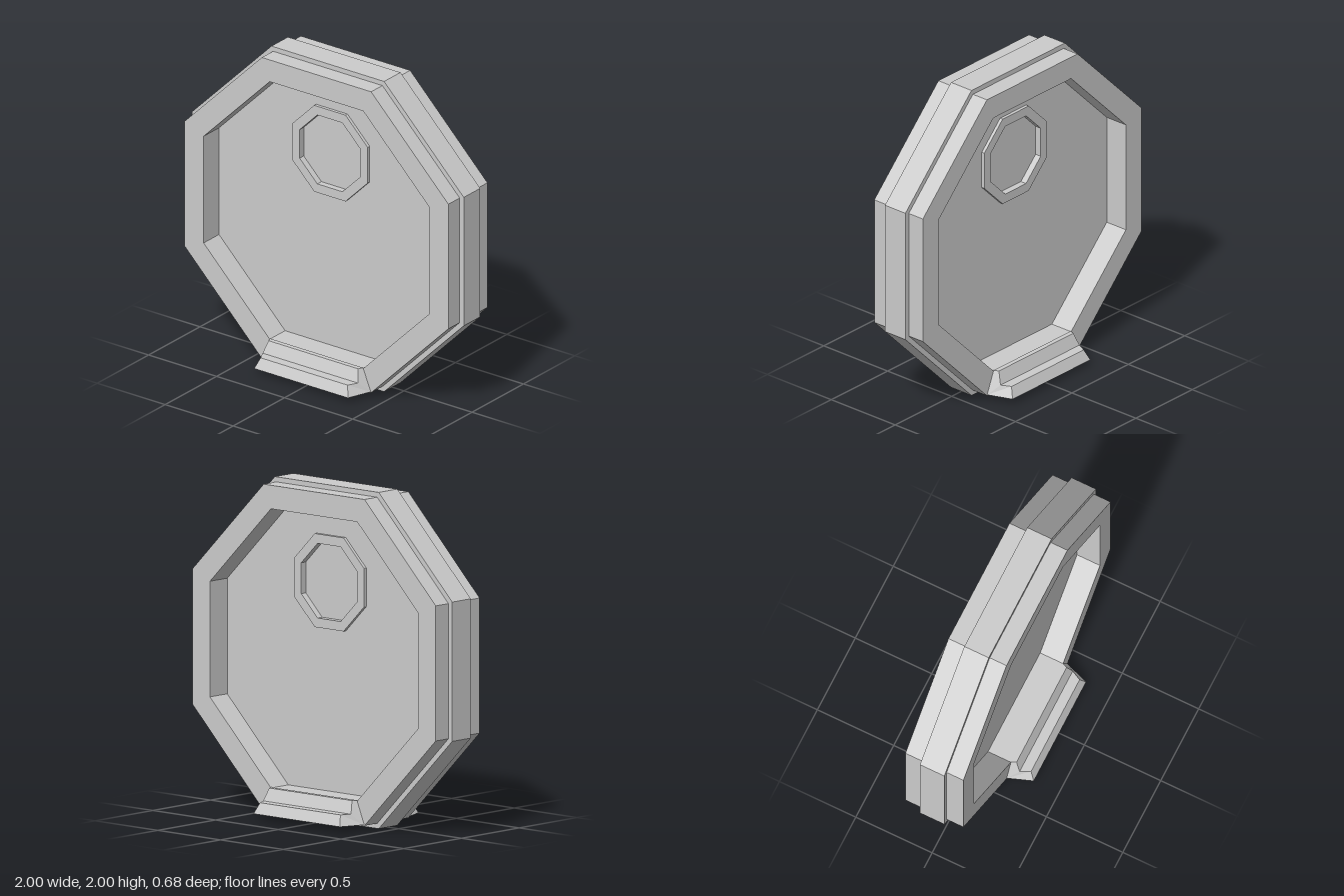
import * as THREE from 'three';

const material = new THREE.MeshStandardMaterial({ color: 0xcccccc, flatShading: true });

// Eight corners of a regular octagon with flat sides up, down, left and right
function octagon(apothem) {
  const radius = apothem / Math.cos(Math.PI / 8);
  return Array.from({ length: 8 }, (_, i) => {
    const a = (i + 0.5) * Math.PI / 4;
    return new THREE.Vector2(radius * Math.cos(a), radius * Math.sin(a));
  });
}

// Octagonal plate, optionally pierced by an octagonal hole, centred on z = 0
function plate(name, apothem, halfDepth, y, hole) {
  const shape = new THREE.Shape(octagon(apothem));
  if (hole) {
    const points = octagon(hole.apothem).map((p) => p.add(new THREE.Vector2(0, hole.y)));
    shape.holes.push(new THREE.Path(points));
  }
  const geometry = new THREE.ExtrudeGeometry(shape, { depth: 2 * halfDepth, bevelEnabled: false });
  geometry.translate(0, y, -halfDepth);
  const mesh = new THREE.Mesh(geometry, material);
  mesh.name = name;
  return mesh;
}

// Two-tread step with tapered ends, projecting from the frame's front face
function stepGeometry() {
  // [half width, y, z] around the profile, from the lower back edge to the upper back edge
  const profile = [
    [0.40, 0.035, 0.19], [0.345, 0.035, 0.34], [0.32, 0.10, 0.31],
    [0.35, 0.10, 0.25], [0.33, 0.175, 0.22], [0.342, 0.175, 0.19],
  ];
  const n = profile.length;
  const positions = [];
  for (const side of [1, -1]) {
    for (const [x, y, z] of profile) positions.push(side * x, y, z);
  }
  const index = [];
  for (let i = 0; i < n; i++) {
    const j = (i + 1) % n;
    index.push(i, j, n + j, i, n + j, n + i);
  }
  // End caps
  for (let i = 1; i < n - 1; i++) {
    index.push(0, i + 1, i, n, n + i, n + i + 1);
  }
  const geometry = new THREE.BufferGeometry();
  geometry.setAttribute('position', new THREE.Float32BufferAttribute(positions, 3));
  geometry.setIndex(index);
  const flat = geometry.toNonIndexed();
  flat.computeVertexNormals();
  return flat;
}

export function createModel() {
  const model = new THREE.Group();
  model.name = 'octagonalDoor';

  const centreY = 1;
  const windowY = 1.415;

  // Frame with a raised band round its middle
  model.add(plate('frame', 0.97, 0.19, centreY, { apothem: 0.83, y: 0 }));
  model.add(plate('middleBand', 1, 0.08, centreY, { apothem: 0.9, y: 0 }));

  // Recessed door panel and its small octagonal window
  model.add(plate('doorPanel', 0.86, 0.04, centreY, { apothem: 0.25, y: windowY - centreY }));
  model.add(plate('windowRim', 0.278, 0.06, windowY, { apothem: 0.222, y: 0 }));
  model.add(plate('windowPane', 0.24, 0.02, windowY));

  // Matching steps at the front and back
  const geometry = stepGeometry();
  for (const [name, turn] of [['frontStep', 0], ['backStep', Math.PI]]) {
    const step = new THREE.Mesh(geometry, material);
    step.name = name;
    step.rotation.y = turn;
    model.add(step);
  }

  return model;
}
